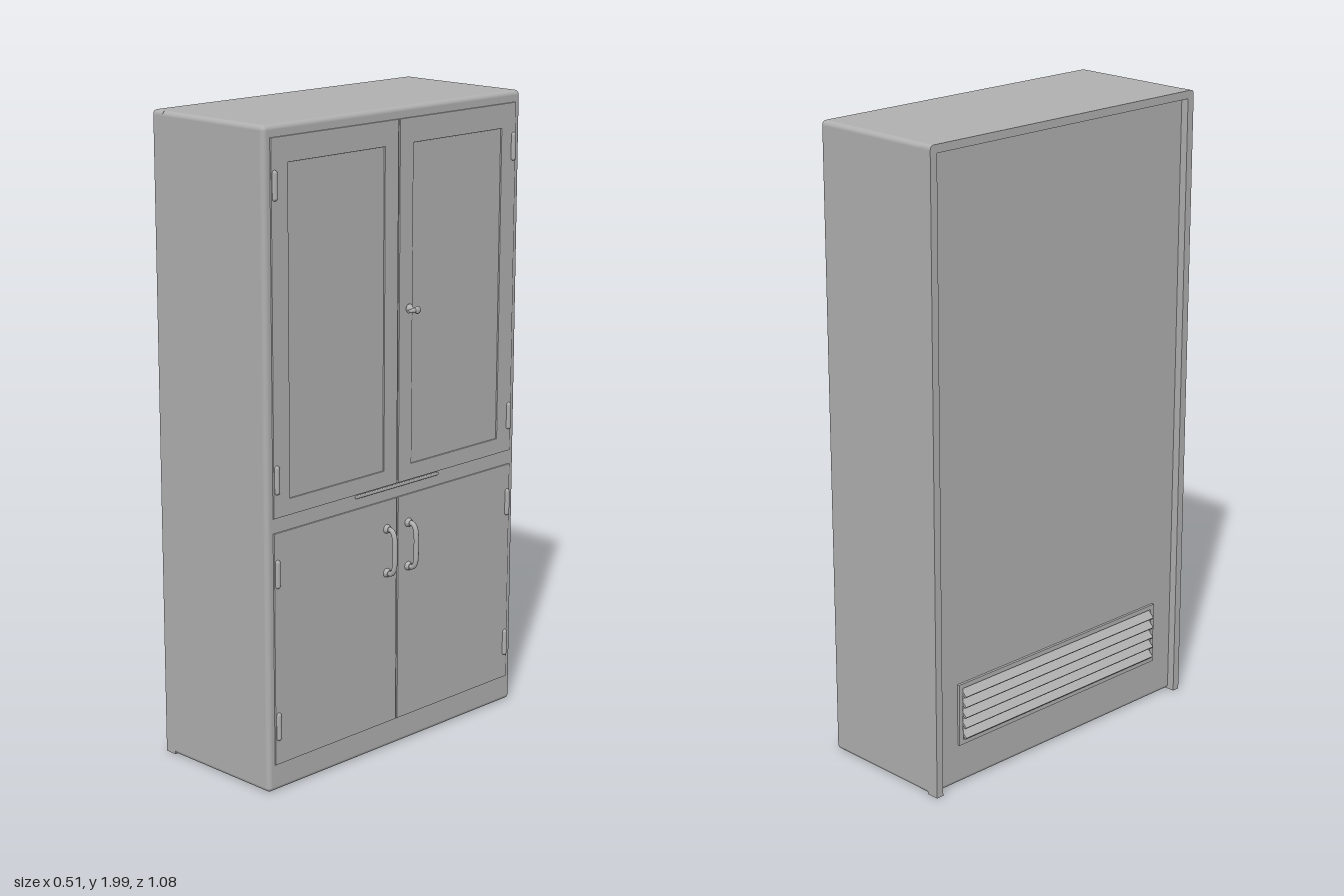
import * as THREE from 'three';
import { RoundedBoxGeometry } from 'three/addons/geometries/RoundedBoxGeometry.js';

const paint = new THREE.MeshStandardMaterial({ color: 0xb0b0b0 });
paint.name = 'grey paint';

// The cabinet's doors face +x, its vented back faces -x.
export function createModel() {
  const group = new THREE.Group();
  const add = (name, geometry, x = 0, y = 0, z = 0, parent = group) => {
    const mesh = new THREE.Mesh(geometry, paint);
    mesh.name = name;
    mesh.position.set(x, y, z);
    parent.add(mesh);
    return mesh;
  };
  // Upright plate: outline in (-z, y), thickness along +x
  const plate = (shape, depth, bevel = 0) => new THREE.ExtrudeGeometry(shape, {
    depth, bevelEnabled: bevel > 0, bevelSize: bevel, bevelThickness: bevel,
    bevelOffset: -bevel, bevelSegments: 2, curveSegments: 6,
  }).rotateY(Math.PI / 2);
  const rect = (Type, a, b, c, d) => {
    const s = new Type();
    s.moveTo(a, c); s.lineTo(b, c); s.lineTo(b, d); s.lineTo(a, d); s.closePath();
    return s;
  };

  // Body with soft edges
  const R = 0.015;
  add('body', new RoundedBoxGeometry(0.437, 1.99, 1.08, 4, R), -0.0115, 1.005, 0);

  // Rear flange around the sides and top, open at the bottom
  const W = 0.54, T = 0.025;
  const rim = new THREE.Shape();
  rim.moveTo(-W, 0.01);
  rim.lineTo(-W, 2 - R);
  rim.quadraticCurveTo(-W, 2, -W + R, 2);
  rim.lineTo(W - R, 2);
  rim.quadraticCurveTo(W, 2, W, 2 - R);
  rim.lineTo(W, 0.01);
  rim.lineTo(W - T, 0.01);
  rim.lineTo(W - T, 2 - T);
  rim.lineTo(-W + T, 2 - T);
  rim.lineTo(-W + T, 0.01);
  rim.closePath();
  add('rearFlange', plate(rim, 0.04), -0.255);

  // Louvred vent low on the back
  const vent = new THREE.Group();
  vent.name = 'vent';
  group.add(vent);
  const ventShape = rect(THREE.Shape, -0.43, 0.43, 0.14, 0.34);
  ventShape.holes.push(rect(THREE.Path, -0.415, 0.415, 0.155, 0.325));
  add('ventFrame', plate(ventShape, 0.008), -0.238, 0, 0, vent);
  for (let i = 0; i < 5; i++) {
    const slat = add('ventSlat', new THREE.BoxGeometry(0.03, 0.008, 0.83), -0.238, 0.172 + i * 0.034, 0, vent);
    slat.rotation.z = 0.75;
  }

  for (const s of [-1, 1]) {
    const [a, b] = s > 0 ? [0.003, 0.515] : [-0.515, -0.003];
    const [c, d] = s > 0 ? [0.06, 0.45] : [-0.45, -0.06];

    // Upper door with a sunken panel, and plain lower door
    const upper = rect(THREE.Shape, a, b, 0.86, 1.965);
    upper.holes.push(rect(THREE.Path, c, d, 0.91, 1.89));
    add('upperDoor', plate(upper, 0.003, 0.002), 0.207);
    add('lowerDoor', plate(rect(THREE.Shape, a, b, 0.095, 0.815), 0.003, 0.002), 0.207);

    // Hinges
    for (const y of [1.83, 0.975, 0.69, 0.215]) {
      add('hinge', new THREE.CapsuleGeometry(0.009, 0.07, 4, 10), 0.212, y, s * 0.503);
    }

    // Bowed pull handle with round mounts
    const handle = new THREE.Group();
    handle.name = 'handle';
    handle.position.set(0, 0, s * 0.047);
    group.add(handle);
    const path = new THREE.CatmullRomCurve3([
      [0.21, 0.725], [0.232, 0.724], [0.243, 0.71], [0.247, 0.655],
      [0.243, 0.6], [0.232, 0.586], [0.21, 0.585],
    ].map(([x, y]) => new THREE.Vector3(x, y, 0)));
    add('grip', new THREE.TubeGeometry(path, 32, 0.008, 10), 0, 0, 0, handle);
    for (const y of [0.585, 0.725]) {
      add('mount', new THREE.CylinderGeometry(0.01, 0.015, 0.014, 14).rotateZ(-Math.PI / 2), 0.217, y, 0, handle);
    }
  }

  // Rail lip between the upper and lower doors
  add('railLip', new RoundedBoxGeometry(0.008, 0.01, 0.36, 2, 0.003), 0.211, 0.853, 0);

  // Latch on the upper doors: flared stem and a tapered lever
  const latch = new THREE.Group();
  latch.name = 'latch';
  latch.position.set(0, 1.395, -0.045);
  group.add(latch);
  const profile = [[0, 0], [0.014, 0], [0.013, 0.006], [0.006, 0.014], [0.006, 0.026], [0.012, 0.036], [0.009, 0.042], [0, 0.043]];
  add('latchStem', new THREE.LatheGeometry(profile.map(([r, h]) => new THREE.Vector2(r, h)), 16)
    .rotateZ(-Math.PI / 2), 0.21, 0, 0, latch);
  add('latchLever', new THREE.CylinderGeometry(0.005, 0.009, 0.045, 10).rotateX(Math.PI / 2), 0.243, 0, 0.015, latch);

  return group;
}
